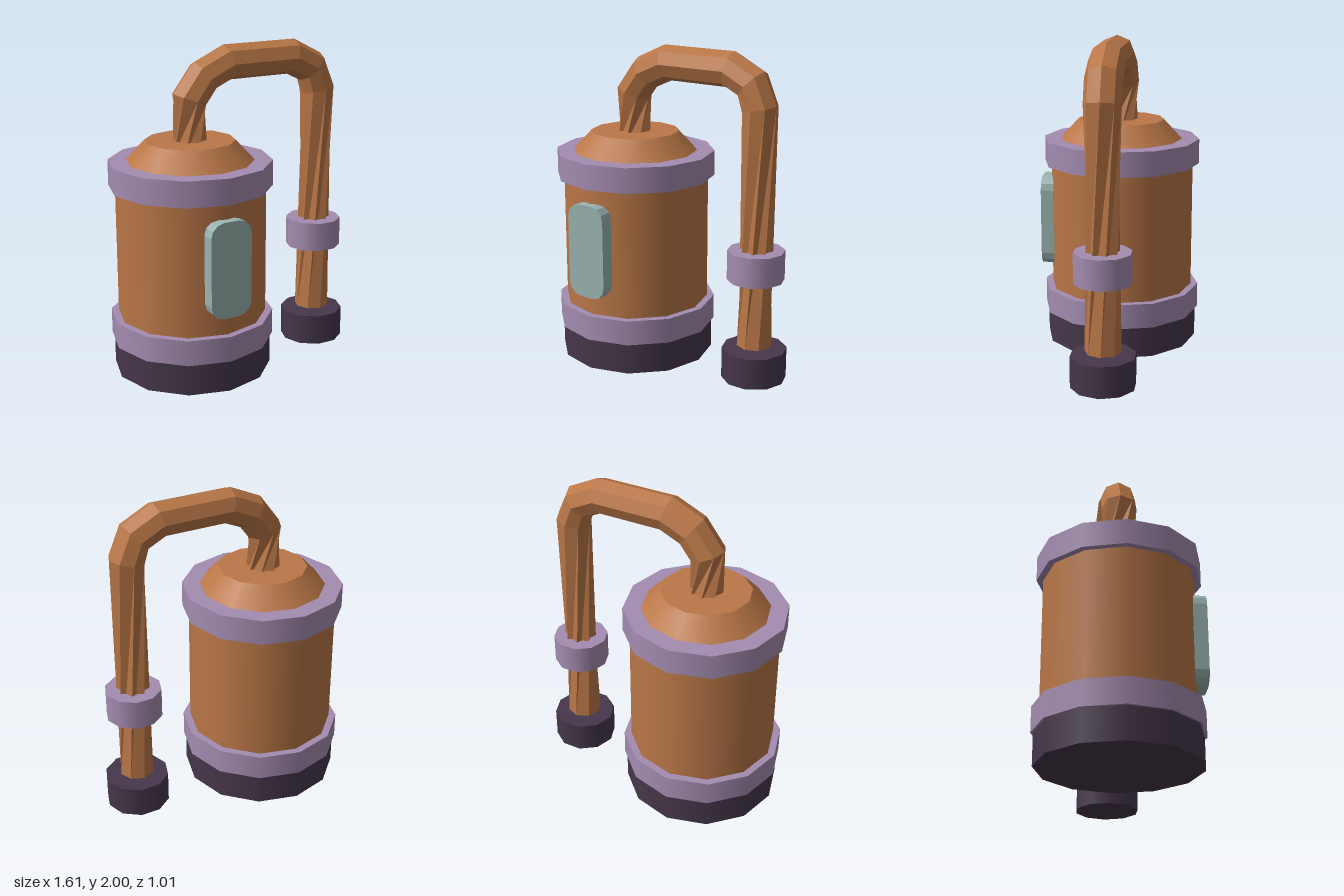
import * as THREE from 'three';

const material = (name, color) => {
  const m = new THREE.MeshStandardMaterial({ color });
  m.name = name;
  return m;
};

export function createModel() {
  const copper = material('copper', 0xba7747);
  const purple = material('purple', 0xa48cb1);
  const dark = material('dark plum', 0x46374a);
  const glass = material('pale glass', 0x9ab3b0);
  const hoseCopper = copper.clone();
  hoseCopper.flatShading = true;

  const model = new THREE.Group();
  model.name = 'tankWithHose';
  const add = (name, geometry, mat) => {
    const mesh = new THREE.Mesh(geometry, mat);
    mesh.name = name;
    model.add(mesh);
    return mesh;
  };

  // Upright prism between two heights, with a corner on the x axis
  const drum = (name, x, y0, y1, r0, r1, sides, mat) => {
    const g = new THREE.CylinderGeometry(r1, r0, y1 - y0, sides);
    g.rotateY(Math.PI / 2);
    add(name, g, mat).position.set(x, (y0 + y1) / 2, 0);
  };

  // Tank
  drum('tankBase', -0.3, 0, 0.197, 0.49, 0.49, 12, dark);
  drum('lowerBand', -0.3, 0.197, 0.355, 0.505, 0.505, 12, purple);
  drum('tankBody', -0.3, 0.34, 1.18, 0.46, 0.46, 12, copper);
  drum('upperBand', -0.3, 1.165, 1.323, 0.5, 0.5, 12, purple);
  drum('tankCap', -0.3, 1.323, 1.445, 0.39, 0.275, 12, copper);

  // Nozzle foot and collar
  drum('nozzleFoot', 0.6, 0, 0.195, 0.2, 0.2, 10, dark);
  drum('hoseCollar', 0.6, 0.64, 0.825, 0.175, 0.175, 10, purple);

  // Gauge window with chamfer-like rounded corners
  const w = 0.133, h = 0.295, r = 0.085;
  const outline = new THREE.Shape();
  outline.moveTo(w, -h + r);
  outline.absarc(w - r, h - r, r, 0, Math.PI / 2);
  outline.absarc(-w + r, h - r, r, Math.PI / 2, Math.PI);
  outline.absarc(-w + r, -h + r, r, Math.PI, Math.PI * 1.5);
  outline.absarc(w - r, -h + r, r, Math.PI * 1.5, Math.PI * 2);
  const pane = new THREE.ExtrudeGeometry(outline, { depth: 0.085, bevelEnabled: false, curveSegments: 1.5 });
  add('gaugeWindow', pane, glass).position.set(-0.3, 0.775, 0.425);

  // Hose rings: centre x, y, direction of the outer side, twist (degrees)
  const rings = [
    [-0.3, 1.36, 180, -90],
    [-0.303, 1.69, 159, 0],
    [-0.205, 1.82, 127, 0],
    [-0.045, 1.892, 103, 0],
    [0.405, 1.892, 77, 0],
    [0.552, 1.818, 47, 0],
    [0.605, 1.68, 13, 0],
    [0.6, 0.215, 0, 90],
  ];
  const sides = 8, radius = 0.11;
  const positions = [], index = [];
  rings.forEach(([x, y, out, twist], i) => {
    const o = THREE.MathUtils.degToRad(out);
    for (let j = 0; j < sides; j++) {
      const a = (j / sides) * Math.PI * 2 + THREE.MathUtils.degToRad(twist);
      const d = radius * Math.cos(a);
      positions.push(x + d * Math.cos(o), y + d * Math.sin(o), radius * Math.sin(a));
      if (i === rings.length - 1) continue;
      const p = i * sides + j, q = i * sides + ((j + 1) % sides);
      index.push(p, q, p + sides, q, q + sides, p + sides);
    }
  });
  // Closed lower end
  const last = (rings.length - 1) * sides;
  for (let j = 1; j < sides - 1; j++) index.push(last, last + j, last + j + 1);
  const hose = new THREE.BufferGeometry();
  hose.setAttribute('position', new THREE.Float32BufferAttribute(positions, 3));
  hose.setIndex(index);
  const flatHose = hose.toNonIndexed();
  flatHose.computeVertexNormals();
  add('hose', flatHose, copper);

  return model;
}
